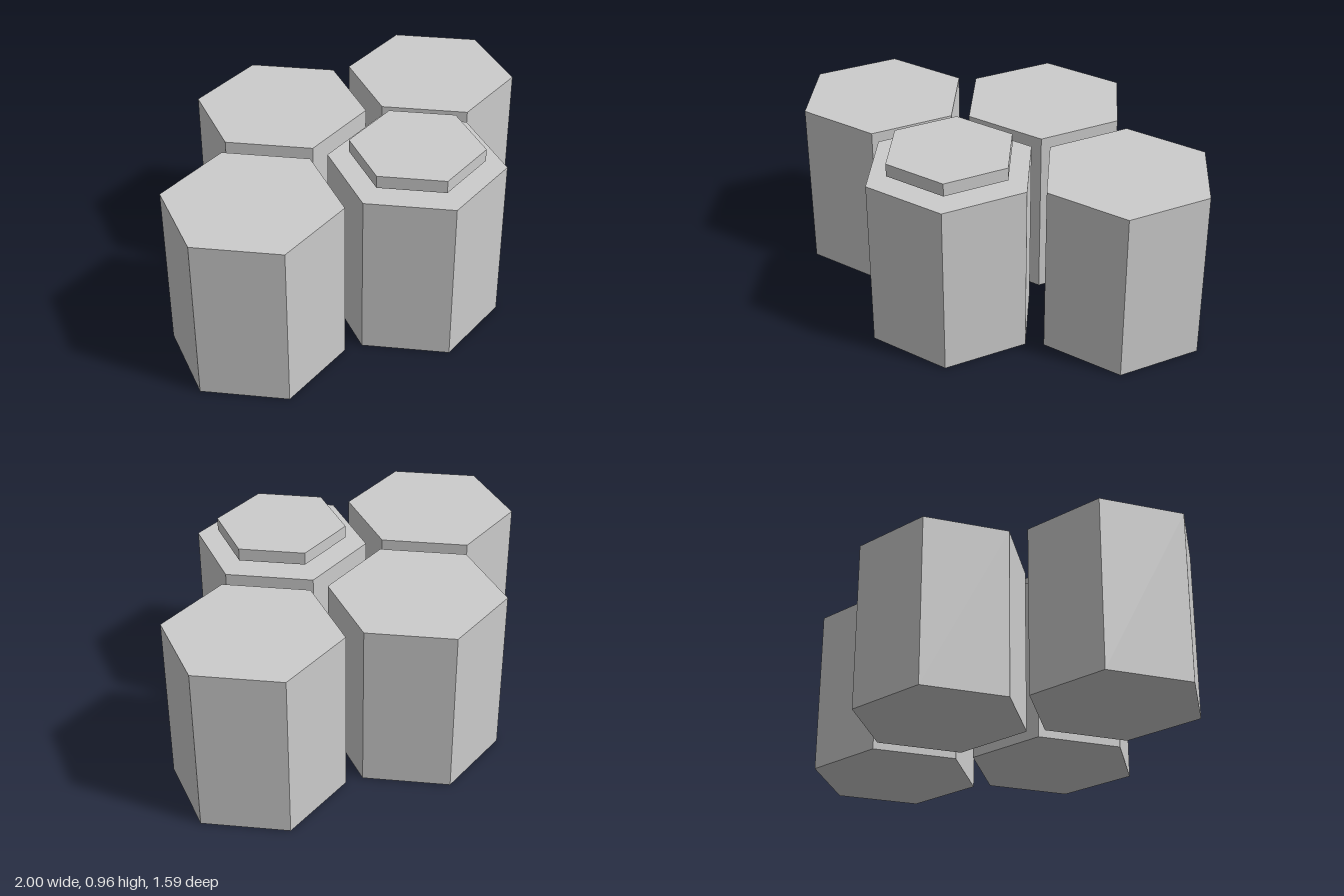
import * as THREE from 'three';

const material = new THREE.MeshStandardMaterial({ color: 0xcccccc, flatShading: true });

// Upright hexagonal prism with corners pointing along z
function hexPrism(name, radius, bottom, top, x, z) {
  const geometry = new THREE.CylinderGeometry(radius, radius, top - bottom, 6);
  const mesh = new THREE.Mesh(geometry, material);
  mesh.name = name;
  mesh.position.set(x, (bottom + top) / 2, z);
  return mesh;
}

export function createModel() {
  const model = new THREE.Group();
  model.name = 'hexColumns';

  const radius = 0.431;
  const height = 0.868;
  const spacing = 0.836; // between neighbours in a row
  const rowZ = spacing * Math.sqrt(3) / 4;

  // Two staggered rows of two columns
  for (const [row, side] of [['front', 1], ['back', -1]]) {
    for (const [label, offset] of [['Right', -0.5], ['Left', 0.5]]) {
      const x = (offset - side * 0.25) * spacing;
      model.add(hexPrism(`${row}${label}Column`, radius, 0, height, x, side * rowZ));
    }
  }

  // Thin plate hovering over the front left column
  model.add(hexPrism('floatingPlate', 0.327, 0.897, 0.962, spacing * 0.25, rowZ));

  return model;
}
